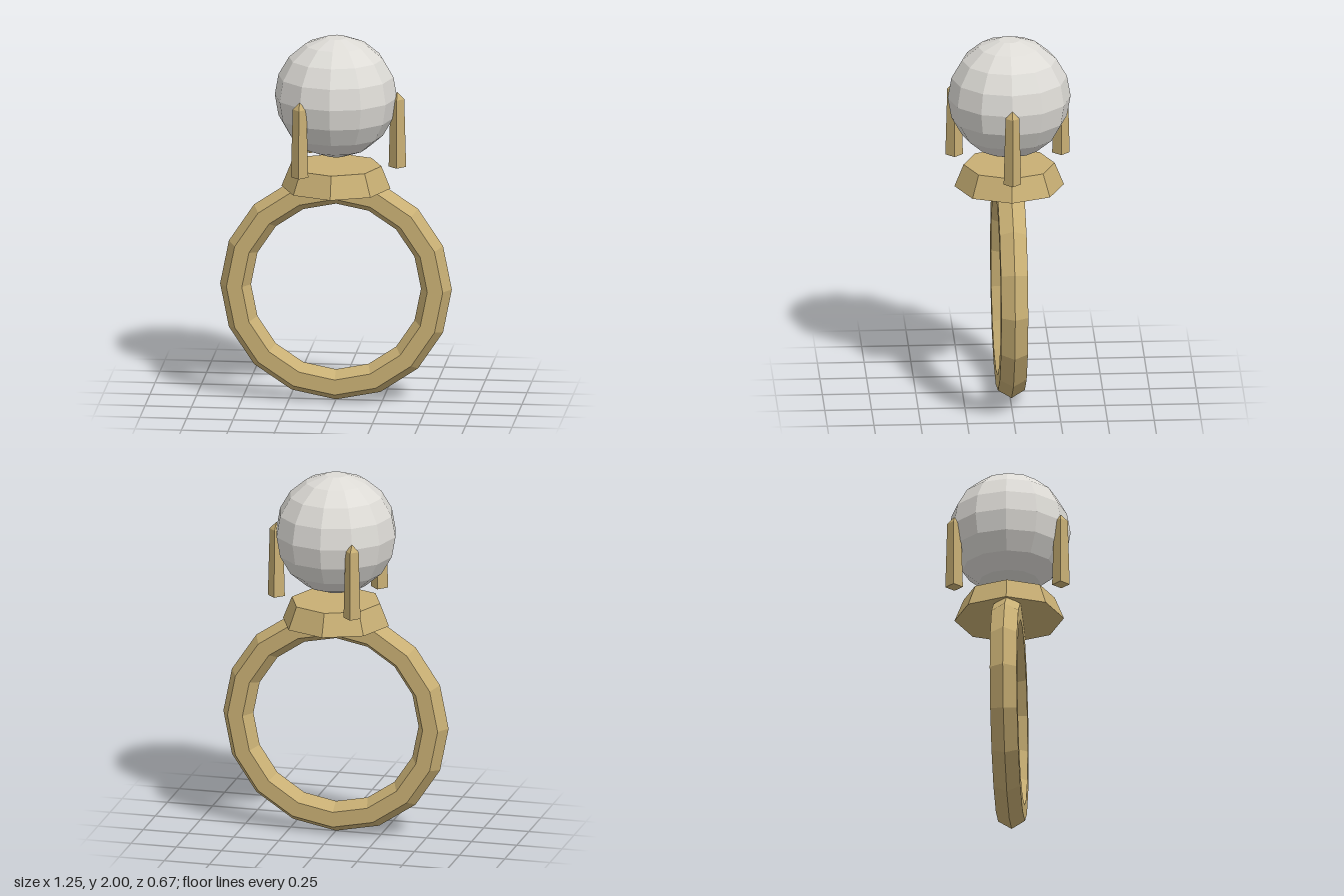
import * as THREE from 'three';

export function createModel() {
  const gold = new THREE.MeshStandardMaterial({ color: 0xc8af74, flatShading: true });
  gold.name = 'gold';
  const pearl = new THREE.MeshStandardMaterial({ color: 0xdddbd6, flatShading: true });
  pearl.name = 'pearl';

  const ring = new THREE.Group();
  ring.name = 'pearlRing';
  const add = (parent, name, geometry, material, x, y, z) => {
    const mesh = new THREE.Mesh(geometry, material);
    mesh.name = name;
    mesh.position.set(x, y, z);
    parent.add(mesh);
    return mesh;
  };

  // Hexagonal-section band
  add(ring, 'band', new THREE.TorusGeometry(0.54, 0.083, 6, 16), gold, 0, 0.625, 0);

  // Eight-sided tapered collar under the stone
  add(ring, 'collar', new THREE.CylinderGeometry(0.244, 0.293, 0.122, 8), gold, 0, 1.234, 0);

  // Pearl: rows every 20 degrees, closed by small flat caps
  const r = 0.329;
  const profile = [];
  for (let lat = -80; lat <= 80; lat += 20) {
    const a = THREE.MathUtils.degToRad(lat);
    profile.push(new THREE.Vector2(r * Math.cos(a), r * Math.sin(a)));
  }
  profile.unshift(new THREE.Vector2(0, profile[0].y));
  profile.push(new THREE.Vector2(0, profile[profile.length - 1].y));
  add(ring, 'pearl', new THREE.LatheGeometry(profile, 12), pearl, 0, 1.675, 0);

  // Three four-sided prongs with pointed tips
  const prongShape = [[0, 0], [0.047, 0], [0.037, 0.373], [0, 0.412]]
    .map(([x, y]) => new THREE.Vector2(x, y));
  const prongGeometry = new THREE.LatheGeometry(prongShape, 4);
  for (let i = 0; i < 3; i++) {
    const a = (i * Math.PI * 2) / 3;
    add(ring, 'prong' + (i + 1), prongGeometry, gold, 0.33 * Math.cos(a), 1.295, 0.33 * Math.sin(a));
  }
  return ring;
}
